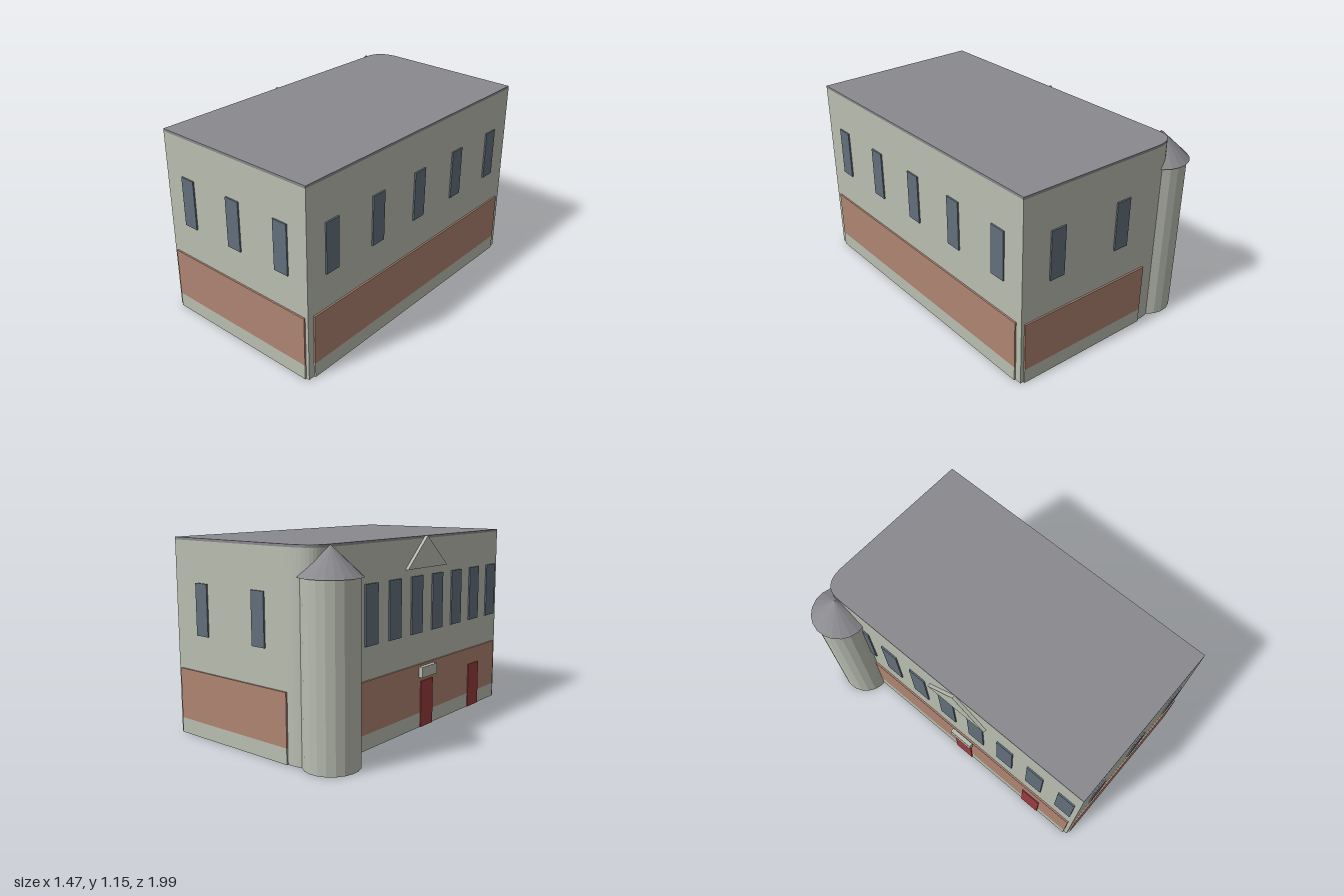
import * as THREE from 'three';

const mat = (name, color, flatShading = false) => {
  const m = new THREE.MeshStandardMaterial({ color, flatShading });
  m.name = name;
  return m;
};

export function createModel() {
  const wallMat = mat('stone wall', 0xb9bdb0, true);
  const brickMat = mat('brick', 0xaf8473, true);
  const glassMat = mat('window glass', 0x636f7c, true);
  const roofMat = mat('roof grey', 0x8a8a8e, true);
  const doorMat = mat('red door', 0x9a3c3e, true);

  const model = new THREE.Group();
  model.name = 'building';

  const add = (parent, name, geometry, material, x = 0, y = 0, z = 0) => {
    const mesh = new THREE.Mesh(geometry, material);
    mesh.name = name;
    mesh.position.set(x, y, z);
    parent.add(mesh);
    return mesh;
  };

  // Footprint corners as [x, z]
  const frontLeft = [-0.33, 0.985], frontRight = [0.73, 0.86];
  const backRight = [0.5, -0.99], curveStart = [-0.4, -0.92], curveEnd = [-0.55, -0.78];

  // Footprint with one rounded corner
  const plan = new THREE.Shape();
  plan.moveTo(frontLeft[0], -frontLeft[1]);
  plan.lineTo(frontRight[0], -frontRight[1]);
  plan.lineTo(backRight[0], -backRight[1]);
  plan.lineTo(curveStart[0], -curveStart[1]);
  plan.quadraticCurveTo(-0.566, 0.907, curveEnd[0], -curveEnd[1]);
  plan.closePath();
  const slab = (depth) => new THREE.ExtrudeGeometry(plan, { depth, bevelEnabled: false, curveSegments: 10 })
    .rotateX(-Math.PI / 2);
  add(model, 'walls', slab(1.135), wallMat);
  add(model, 'roof', slab(0.015), roofMat, 0, 1.135, 0);

  // Wall frame: local x runs along the wall, local z points outward
  const wallFrame = (name, p, q) => {
    const g = new THREE.Group();
    g.name = name;
    g.position.set(p[0], 0, p[1]);
    g.rotation.y = Math.atan2(p[1] - q[1], q[0] - p[0]);
    model.add(g);
    return g;
  };
  const plate = (wall, name, material, u, width, y0, y1, depth) =>
    add(wall, name, new THREE.BoxGeometry(width, y1 - y0, depth), material, u, (y0 + y1) / 2, depth / 2);

  // Plinth, brick band and windows of every side
  const sides = [
    { name: 'frontWall', p: frontLeft, q: frontRight, band: [0.02, 1.047],
      windows: [0.179, 0.537, 0.889], width: 0.096, y: [0.6, 0.9] },
    { name: 'rightWall', p: frontRight, q: backRight, band: [0.04, 1.824],
      windows: [0, 1, 2, 3, 4].map((k) => 0.185 + 0.373 * k), width: 0.098, y: [0.6, 0.9] },
    { name: 'backWall', p: backRight, q: curveStart, band: [0.02, 0.89],
      windows: [0.228, 0.686], width: 0.096, y: [0.6, 0.9] },
    { name: 'leftWall', p: curveEnd, q: frontLeft, band: [0.04, 1.755],
      windows: [0, 1, 2, 3, 4, 5, 6, 7].map((k) => 1.69 - 0.2217 * k), width: 0.115, y: [0.58, 0.92] },
  ];
  const frames = {};
  for (const s of sides) {
    const wall = frames[s.name] = wallFrame(s.name, s.p, s.q);
    const mid = (s.band[0] + s.band[1]) / 2, length = s.band[1] - s.band[0];
    plate(wall, 'plinth', wallMat, mid, length, 0, 0.09, 0.01);
    plate(wall, 'brickBand', brickMat, mid, length, 0.09, 0.39, 0.01);
    for (const u of s.windows) plate(wall, 'window', glassMat, u, s.width, s.y[0], s.y[1], 0.009);
  }

  // Entrance side: two doors, a canopy box and a small gable
  const left = frames.leftWall;
  for (const u of [0.907, 1.471]) plate(left, 'door', doorMat, u, 0.13, 0, 0.285, 0.016);
  plate(left, 'doorCanopy', wallMat, 0.907, 0.16, 0.31, 0.375, 0.035);
  const gable = new THREE.Shape([
    new THREE.Vector2(0.685, 0.965), new THREE.Vector2(1.108, 0.965), new THREE.Vector2(0.887, 1.149),
  ]);
  add(left, 'gable', new THREE.ExtrudeGeometry(gable, { depth: 0.02, bevelEnabled: false }), wallMat);

  // Round corner tower
  add(model, 'tower', new THREE.CylinderGeometry(0.155, 0.155, 0.99, 20), wallMat, -0.57, 0.495, -0.78);
  add(model, 'towerRoof', new THREE.ConeGeometry(0.17, 0.16, 20), roofMat, -0.57, 1.07, -0.78);

  return model;
}
